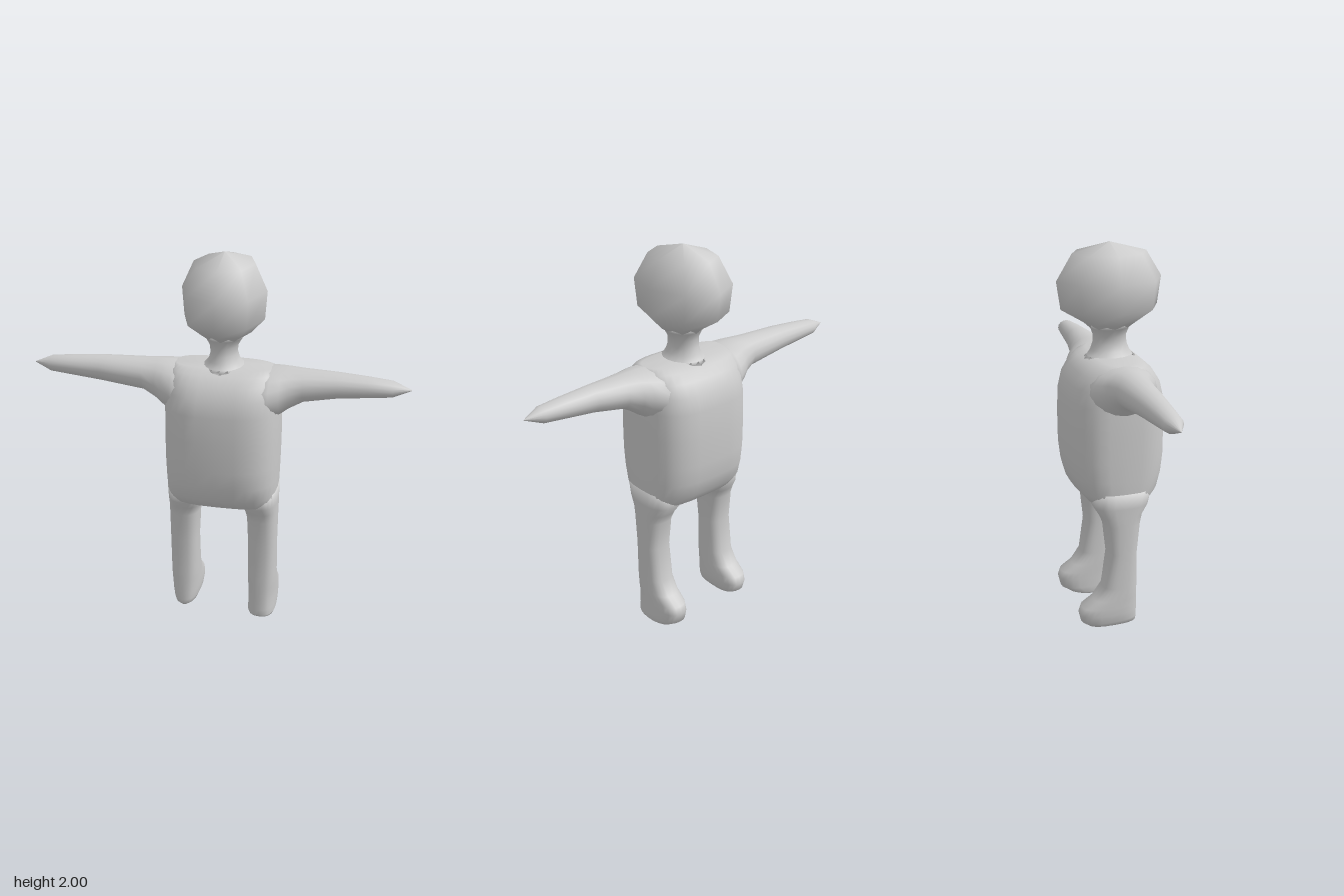
import * as THREE from 'three';

const material = new THREE.MeshStandardMaterial({ color: 0xcccccc });

// Closed smooth skin over rounded cross-sections along an axis.
// Section: [t, u0, u1, v0, v1, exponent]; axis 'y' -> u = x, v = z; axis 'x' -> u = z, v = y.
function loft(name, axis, sections, sides = 24) {
  const pos = [], index = [];
  const put = (t, u, v) => (axis === 'y' ? pos.push(u, t, v) : pos.push(t, v, u));
  const bend = (c, e) => Math.sign(c) * Math.pow(Math.abs(c), 2 / e);
  for (const [t, u0, u1, v0, v1, e = 2] of sections) {
    for (let i = 0; i < sides; i++) {
      const a = (i / sides) * Math.PI * 2;
      put(t, (u0 + u1) / 2 + bend(Math.cos(a), e) * (u1 - u0) / 2,
        (v0 + v1) / 2 + bend(Math.sin(a), e) * (v1 - v0) / 2);
    }
  }
  const rings = sections.length;
  for (let r = 0; r < rings - 1; r++) {
    for (let i = 0; i < sides; i++) {
      const a = r * sides + i, b = r * sides + (i + 1) % sides;
      index.push(a, a + sides, b, b, a + sides, b + sides);
    }
  }
  // end caps
  const first = sections[0], last = sections[rings - 1], base = rings * sides;
  put(first[0], (first[1] + first[2]) / 2, (first[3] + first[4]) / 2);
  put(last[0], (last[1] + last[2]) / 2, (last[3] + last[4]) / 2);
  for (let i = 0; i < sides; i++) {
    const j = (i + 1) % sides, top = (rings - 1) * sides;
    index.push(base, i, j, base + 1, top + j, top + i);
  }
  const geometry = new THREE.BufferGeometry();
  geometry.setAttribute('position', new THREE.Float32BufferAttribute(pos, 3));
  geometry.setIndex(index);
  geometry.computeVertexNormals();
  const mesh = new THREE.Mesh(geometry, material);
  mesh.name = name;
  return mesh;
}

// Symmetric section about the body's middle line
const mid = (y, rx, rz, e) => [y, 0.036 - rx, 0.036 + rx, -rz, rz, e];

// Leg with the foot reaching towards -z; rows are [y, half width, back z, front z]
function leg(name, x, sole) {
  const shaft = [
    [0.1, 0.077, -0.235, 0.075], [0.14, 0.077, -0.222, 0.075], [0.18, 0.077, -0.16, 0.075],
    [0.25, 0.076, -0.11, 0.075], [0.44, 0.076, -0.083, 0.075], [0.6, 0.08, -0.1, 0.092],
    [0.65, 0.086, -0.12, 0.105], [0.7, 0.1, -0.15, 0.14], [0.78, 0.1, -0.16, 0.16],
  ];
  return loft(name, 'y', [...sole, ...shaft].map(([y, r, back, front]) => {
    // the thigh widens only towards the crotch
    const extra = Math.max(0, r - 0.077) * 2, side = Math.sign(x);
    const w = Math.min(r, 0.077);
    return [y, x - w - (side > 0 ? extra : 0), x + w + (side < 0 ? extra : 0), back, front, 2.6];
  }));
}

// Arm rows are [distance from x = 0, low y, high y, half depth]
function arm(name, side, rootX) {
  const rows = [
    [rootX - 0.14, 1.16, 1.43, 0.2], [rootX - 0.05, 1.18, 1.44, 0.17], [rootX, 1.205, 1.442, 0.145],
    [rootX + 0.04, 1.235, 1.442, 0.12], [rootX + 0.11, 1.275, 1.438, 0.098],
    [0.6, 1.303, 1.433, 0.073], [0.75, 1.318, 1.422, 0.06], [0.87, 1.33, 1.41, 0.048],
    [0.96, 1.368, 1.372, 0.002],
  ].map(([d, y0, y1, r]) => [side * d, -r, r, y0, y1, 2]);
  return loft(name, 'x', side > 0 ? rows : rows.reverse(), 16);
}

export function createModel() {
  const model = new THREE.Group();
  model.name = 'figure';

  model.add(loft('torso', 'y', [
    mid(0.68, 0.22, 0.08, 3), mid(0.685, 0.265, 0.12, 3), mid(0.71, 0.28, 0.165, 3),
    mid(0.77, 0.285, 0.215, 3), mid(0.85, 0.287, 0.238, 3), mid(0.95, 0.289, 0.25, 3),
    mid(1.1, 0.29, 0.251, 3), mid(1.24, 0.288, 0.247, 3), mid(1.32, 0.282, 0.228, 3),
    mid(1.38, 0.275, 0.19, 3), mid(1.42, 0.262, 0.145, 3), mid(1.44, 0.24, 0.09, 3),
  ], 32));

  // Slightly coarse, eight-sided head
  model.add(loft('head', 'y', [
    mid(1.57, 0.075, 0.09), mid(1.61, 0.135, 0.135), mid(1.68, 0.2, 0.25),
    mid(1.82, 0.21, 0.27), mid(1.95, 0.15, 0.19), mid(2, 0.002, 0.002),
  ], 8));

  model.add(loft('neck', 'y', [
    mid(1.42, 0.125, 0.14), mid(1.44, 0.1, 0.115), mid(1.465, 0.078, 0.1), mid(1.5, 0.068, 0.088),
    mid(1.54, 0.07, 0.085), mid(1.58, 0.092, 0.1), mid(1.62, 0.13, 0.13),
  ], 16));

  model.add(arm('leftArm', 1, 0.33), arm('rightArm', -1, 0.26));

  // The left sole is flat, the right one rounded
  model.add(leg('leftLeg', 0.248, [
    [0, 0.07, -0.14, 0.068], [0.012, 0.076, -0.175, 0.075], [0.045, 0.077, -0.222, 0.075],
  ]));
  model.add(leg('rightLeg', -0.176, [
    [0.015, 0.03, -0.13, 0.06], [0.03, 0.058, -0.19, 0.073], [0.055, 0.07, -0.224, 0.075],
  ]));

  return model;
}
